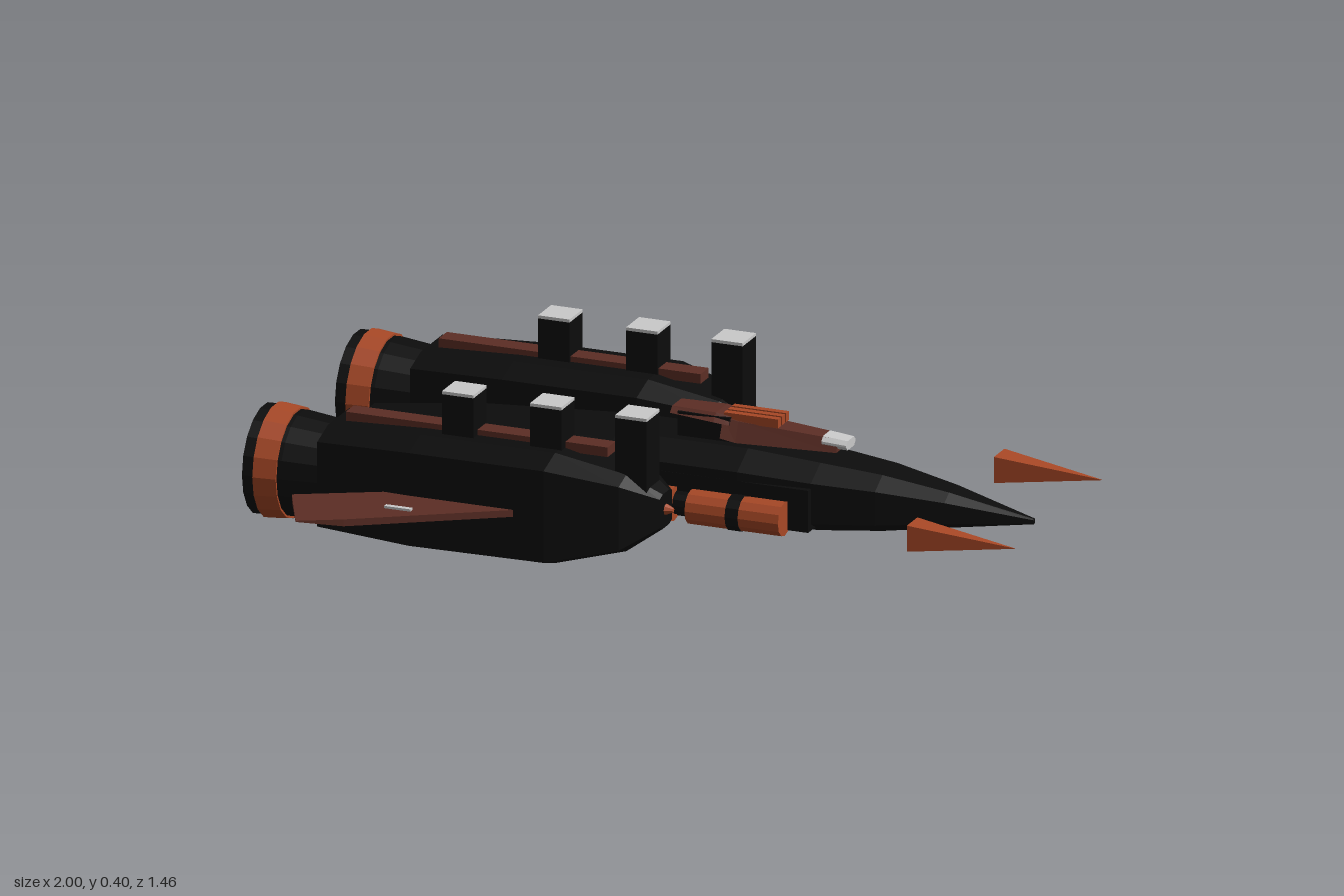
import * as THREE from 'three';

const mat = (name, color, extra = {}) => {
  const m = new THREE.MeshStandardMaterial({ color, flatShading: true, ...extra });
  m.name = name;
  return m;
};

// Octagonal outline in (y, z), from top towards +z; k is the height of the shoulder
const octagon = (k, f) => [[1, -f], [1, f], [k, 1], [-k, 1], [-1, f], [-1, -f], [-k, -1], [k, -1]];

// Skin over sections [x, yCentre, halfHeight, halfWidth] along x
function loft(sections, outline, zc = 0) {
  const rings = sections.map(([x, yc, hh, hw]) => outline.map(([y, z]) => [x, yc + y * hh, zc + z * hw]));
  const pos = [], n = outline.length, last = rings.length - 1;
  const tri = (...p) => p.forEach(v => pos.push(...v));
  for (let i = 0; i < last; i++) {
    for (let j = 0; j < n; j++) {
      const k = (j + 1) % n;
      tri(rings[i][j], rings[i][k], rings[i + 1][k]);
      tri(rings[i][j], rings[i + 1][k], rings[i + 1][j]);
    }
  }
  for (let j = 1; j < n - 1; j++) {
    tri(rings[0][0], rings[0][j + 1], rings[0][j]);
    tri(rings[last][0], rings[last][j], rings[last][j + 1]);
  }
  const g = new THREE.BufferGeometry();
  g.setAttribute('position', new THREE.Float32BufferAttribute(pos, 3));
  g.computeVertexNormals();
  return g;
}

export function createModel() {
  const model = new THREE.Group();
  const black = mat('hull black', 0x0c0c0c);
  const orange = mat('burnt orange', 0xa84826);
  const brown = mat('dark brown', 0x5c2e25);
  const grey = mat('light grey', 0xcacaca);

  const add = (name, geo, material, x = 0, y = 0, z = 0) => {
    const m = new THREE.Mesh(geo, material);
    m.name = name;
    m.position.set(x, y, z);
    model.add(m);
    return m;
  };
  // Box given by its limits
  const box = (name, material, x0, x1, y0, y1, z0, z1) => add(name,
    new THREE.BoxGeometry(x1 - x0, y1 - y0, Math.abs(z1 - z0)), material, (x0 + x1) / 2, (y0 + y1) / 2, (z0 + z1) / 2);
  // Cylinder lying along x
  const rod = (name, material, x0, x1, r0, r1, y, z, sides = 12) => add(name,
    new THREE.CylinderGeometry(r1, r0, x1 - x0, sides).rotateZ(-Math.PI / 2), material, (x0 + x1) / 2, y, z);
  // Surface of revolution around x
  const turned = (name, material, points, y, z) => add(name,
    new THREE.LatheGeometry(points.map(([x, r]) => new THREE.Vector2(r, x)), 18).rotateZ(-Math.PI / 2), material, 0, y, z);

  // Central hull
  add('fuselage', loft([
    [-0.84, 0.16, 0.05, 0.055], [-0.57, 0.16, 0.08, 0.1], [-0.15, 0.162, 0.1, 0.14], [0.2, 0.163, 0.1, 0.142],
    [0.39, 0.16, 0.088, 0.125], [0.55, 0.16, 0.073, 0.098], [0.72, 0.158, 0.046, 0.06], [0.935, 0.148, 0.007, 0.005],
  ], octagon(0.6, 0.5)), black);
  box('wingConnector', black, -0.57, 0.39, 0.09, 0.2, -0.142, 0.142);

  // Cockpit
  const roof = octagon(0.2, 0.7);
  const wedge = [[1, -0.65], [1, 0.65], [-1, 1], [-1, -1]];
  box('cockpitBase', black, 0, 0.14, 0.25, 0.325, -0.045, 0.045);
  add('cockpitCanopy', loft([[-0.02, 0.325, 0.007, 0.045], [0.1, 0.322, 0.01, 0.055], [0.14, 0.317, 0.009, 0.053]], wedge), brown);
  add('cockpitNose', loft([[0.12, 0.3, 0.025, 0.062], [0.16, 0.292, 0.025, 0.058], [0.42, 0.284, 0.016, 0.034]], wedge), brown);
  add('cockpitTip', loft([[0.38, 0.29, 0.014, 0.033], [0.445, 0.286, 0.012, 0.03]], roof), grey);
  for (const z of [-0.026, 0, 0.026]) box('canopyStripe', orange, 0.12, 0.265, 0.312, 0.335, z - 0.009, z + 0.009);

  for (const s of [1, -1]) {
    const zc = 0.298 * s;

    // Engine nacelle
    add('nacelle', loft([
      [-0.8, 0.152, 0.133, 0.137], [-0.55, 0.15, 0.146, 0.15], [-0.19, 0.152, 0.144, 0.15],
      [-0.01, 0.155, 0.1, 0.1], [0.075, 0.16, 0.045, 0.04],
    ], octagon(0.83, 0.5), zc), black);
    rod('nacelleSpike', orange, 0.07, 0.095, 0.017, 0.006, 0.16, zc, 8);

    // Exhaust bell, coloured band and glowing plate
    turned('exhaustBell', black, [[-0.965, 0.108], [-1, 0.118], [-1, 0.14], [-0.9, 0.134], [-0.78, 0.12]], 0.15, zc);
    turned('exhaustBand', orange, [[-0.97, 0.138], [-0.97, 0.146], [-0.91, 0.14], [-0.91, 0.13]], 0.15, zc);
    rod('exhaustPlate', grey, -0.97, -0.962, 0.109, 0.109, 0.15, zc, 18);

    // Roof strip and stacks
    box('roofStrip', brown, -0.77, -0.07, 0.285, 0.31, zc - 0.026, zc + 0.026);
    for (const x of [-0.46, -0.225, 0.003]) {
      box('stack', black, x - 0.042, x + 0.042, x > -0.1 ? 0.16 : 0.25, 0.4, 0.266 * s, 0.35 * s);
      box('stackCap', grey, x - 0.042, x + 0.042, 0.4, 0.408, 0.266 * s, 0.35 * s);
    }

    // Swept fin, its underside thinning to the tip
    const outline = [[-0.25, 0.435], [-0.63, 0.675], [-0.735, 0.73], [-0.82, 0.55], [-0.6, 0.435]];
    const fin = new THREE.ExtrudeGeometry(new THREE.Shape(outline.map(([x, z]) => new THREE.Vector2(x, z * s))),
      { depth: 0.018, bevelEnabled: false }).rotateX(Math.PI / 2).translate(0, 0.16, 0);
    const p = fin.attributes.position;
    for (let i = 0; i < p.count; i++) {
      if (Math.abs(p.getZ(i)) > 0.7 && p.getY(i) < 0.15) p.setY(i, 0.157);
    }
    fin.computeVertexNormals();
    add('fin', fin, brown);
    box('finLight', grey, -0.57, -0.5, 0.138, 0.166, 0.544 * s, 0.558 * s);

    // Side gun barrels with dark collars
    const zg = 0.16 * s;
    rod('rearBarrel', orange, -0.07, 0.04, 0.044, 0.044, 0.125, zg);
    rod('middleBarrel', orange, 0.085, 0.195, 0.044, 0.044, 0.125, zg);
    rod('frontBarrel', orange, 0.225, 0.335, 0.044, 0.044, 0.125, zg);
    rod('barrelCollar', black, 0.193, 0.227, 0.046, 0.046, 0.125, zg);
    rod('barrelCore', black, 0.03, 0.09, 0.03, 0.03, 0.125, 0.145 * s);

    // Flying dart
    add('dart', loft([[0.725, 0.175, 0.034, 0.034], [1, 0.175, 0.0005, 0.0005]],
      [[1, -1], [1, 1], [-1, 1], [-1, -1]], 0.279 * s), orange);
  }
  return model;
}
